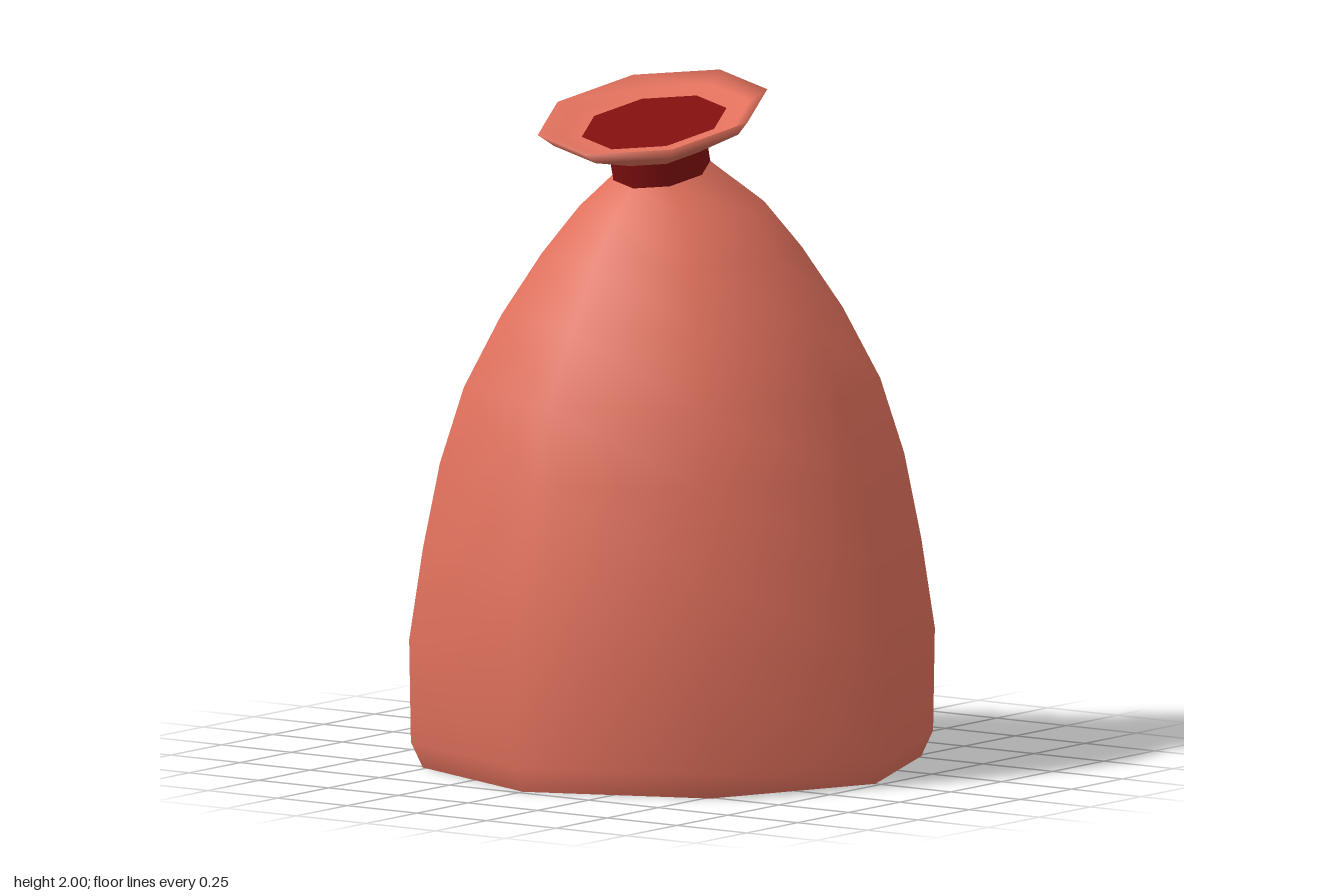
import * as THREE from 'three';
import { mergeVertices } from 'three/addons/utils/BufferGeometryUtils.js';

const SIDES = 8;
const TILT = 0.253;               // forward lean of the tied neck
const NECK = { y: 1.737, z: 0.05, r: 0.144 };
const CLOTH = new THREE.MeshStandardMaterial({ color: 0xe0705c, side: THREE.DoubleSide });
const DARK = new THREE.MeshStandardMaterial({ color: 0x820f0f, side: THREE.DoubleSide });

// Eight-sided turned shape from [radius, height] pairs
function turned(profile) {
  return new THREE.LatheGeometry(profile.map(([r, y]) => new THREE.Vector2(r, y)), SIDES);
}

// Weld the seam and smooth the normals
function smooth(geometry) {
  geometry.deleteAttribute('uv');
  geometry.deleteAttribute('normal');
  const welded = mergeVertices(geometry, 1e-4);
  welded.computeVertexNormals();
  return welded;
}

function add(parent, name, geometry, material) {
  const mesh = new THREE.Mesh(geometry, material);
  mesh.name = name;
  parent.add(mesh);
  return mesh;
}

export function createModel() {
  const model = new THREE.Group();
  model.name = 'sack';

  // Sack body; its topmost ring leans to meet the neck
  const body = turned([
    [0.73, 0], [0.765, 0.075], [0.77, 0.375], [0.73, 0.64], [0.68, 0.89],
    [0.61, 1.11], [0.5, 1.32], [0.38, 1.5], [0.27, 1.635], [NECK.r, NECK.y],
  ]);
  const p = body.attributes.position;
  for (let i = 0; i < p.count; i++) {
    if (p.getY(i) < NECK.y - 0.01) continue;
    const z = p.getZ(i);
    p.setY(i, NECK.y - z * Math.sin(TILT));
    p.setZ(i, NECK.z + z * Math.cos(TILT));
  }
  add(model, 'body', smooth(body), CLOTH);

  // Base panel
  add(model, 'base', turned([[0, 0], [0.73, 0]]), DARK);

  // Leaning neck assembly
  const neck = new THREE.Group();
  neck.name = 'neck';
  neck.position.set(0, NECK.y, NECK.z);
  neck.rotation.x = TILT;
  model.add(neck);

  add(neck, 'tie', turned([[NECK.r, 0], [NECK.r, 0.07]]), DARK);
  add(neck, 'flaredLip', smooth(turned([
    [NECK.r, 0.07], [0.3, 0.14], [0.341, 0.182], [0.285, 0.157], [0.215, 0.15],
  ])), CLOTH);
  add(neck, 'mouth', turned([[0.215, 0.15], [0, 0.15]]), DARK);

  return model;
}
